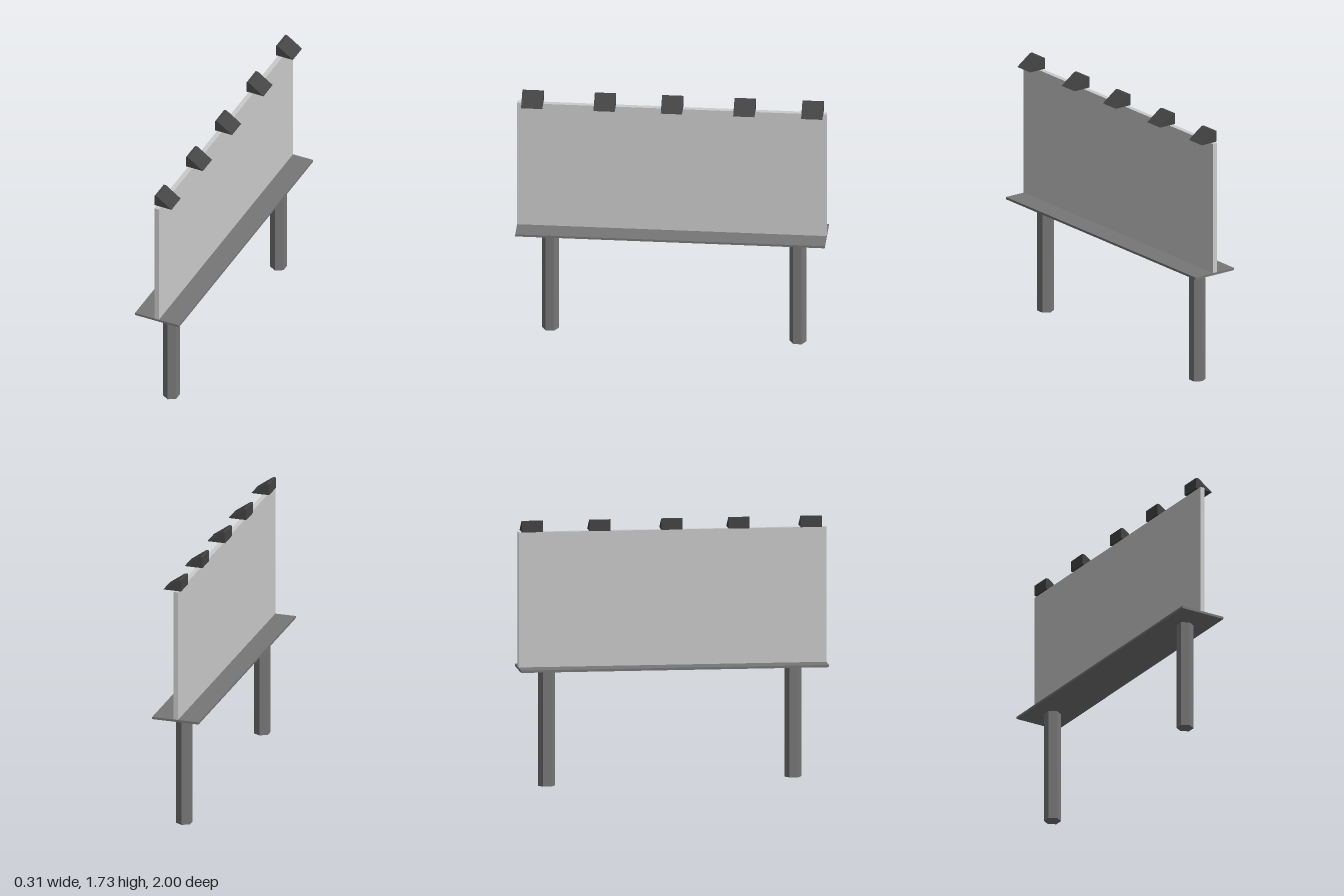
import * as THREE from 'three';

export function createModel() {
  const model = new THREE.Group();
  const mat = (color) => new THREE.MeshStandardMaterial({ color, flatShading: true });
  const panelMat = mat(0xcccccc), frameMat = mat(0x777777), lampMat = mat(0x444444);

  const add = (name, geometry, material, x, y, z) => {
    const mesh = new THREE.Mesh(geometry, material);
    mesh.name = name;
    mesh.position.set(x, y, z);
    model.add(mesh);
  };

  // Display panel standing on a thin walkway
  add('panel', new THREE.BoxGeometry(0.032, 0.88, 2), panelMat, -0.002, 1.215, 0);
  add('walkway', new THREE.BoxGeometry(0.314, 0.015, 2), frameMat, 0, 0.7675, 0);

  // Hexagonal posts of slightly different length: [z, bottom]
  for (const [z, bottom] of [[0.785, 0.03], [-0.815, 0]]) {
    const height = 0.76 - bottom;
    add('post', new THREE.CylinderGeometry(0.055, 0.055, height, 6), frameMat, 0, bottom + height / 2, z);
  }

  // Wedge-shaped lamps along the top edge
  const wedge = new THREE.Shape([
    new THREE.Vector2(-0.032, 0), new THREE.Vector2(0.089, 0),
    new THREE.Vector2(-0.014, 0.073), new THREE.Vector2(-0.032, 0.073),
  ]);
  const width = 0.137;
  const lampGeometry = new THREE.ExtrudeGeometry(wedge, { depth: width, bevelEnabled: false });
  lampGeometry.translate(0, 0, -width / 2);
  for (const z of [0.9, 0.432, -0.003, -0.471, -0.91]) {
    add('lamp', lampGeometry, lampMat, 0, 1.656, z);
  }

  return model;
}
